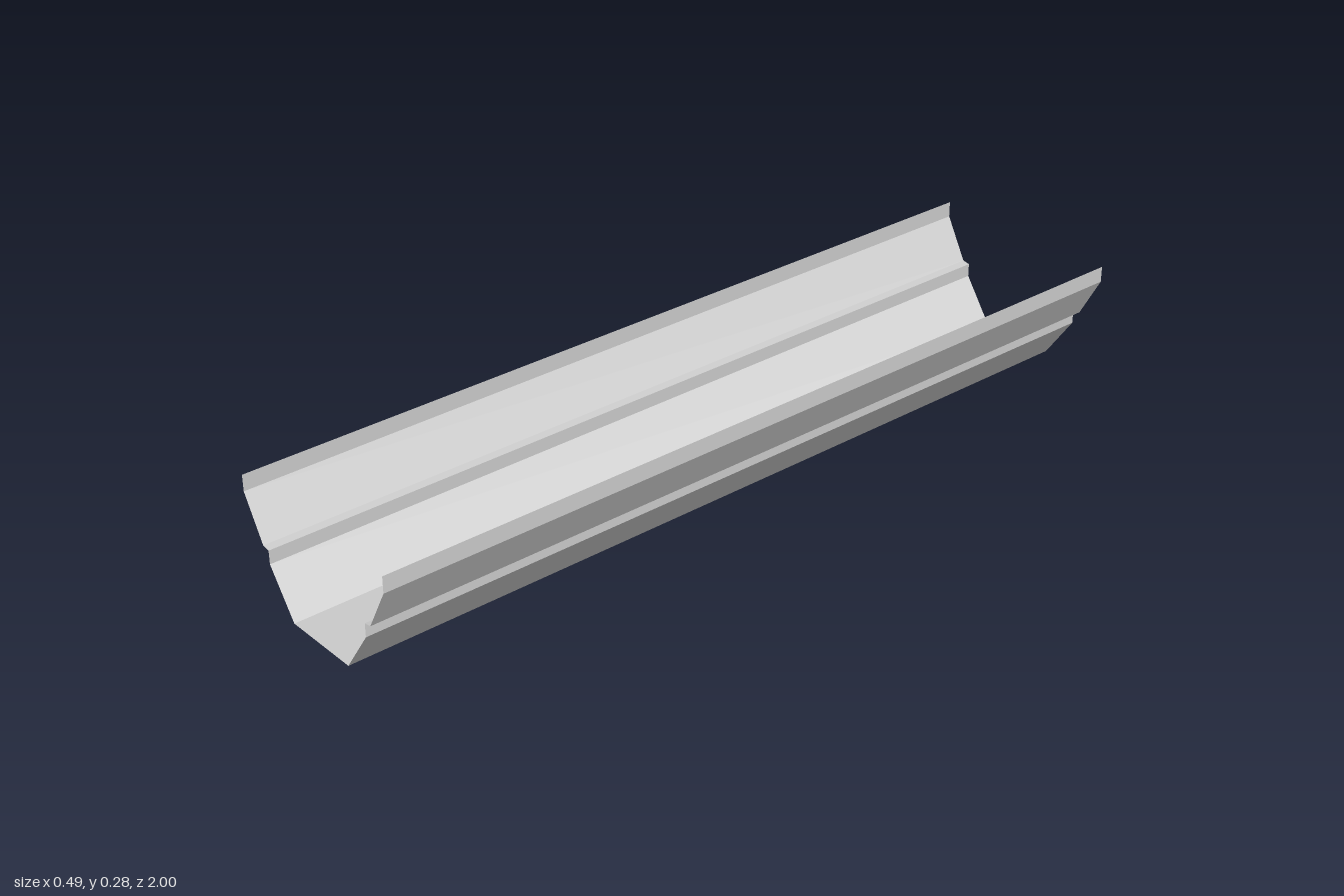
import * as THREE from 'three';

const LENGTH = 2;

// Half cross-section from the floor edge up to the rim: [x, y]
const HALF = [
  [0.096, 0],
  [0.169, 0.104],
  [0.169, 0.136],
  [0.188, 0.139],
  [0.243, 0.239],
  [0.243, 0.277],
];

// Thin folded sheet following an open profile (left to right), running along z
function foldedSheet(profile, name, material) {
  const geometry = new THREE.PlaneGeometry(1, 1, profile.length - 1, 1);
  const position = geometry.attributes.position;
  for (let i = 0; i < position.count; i++) {
    const [x, y] = profile[i % profile.length];
    const z = i < profile.length ? -LENGTH / 2 : LENGTH / 2;
    position.setXYZ(i, x, y, z);
  }
  const flat = geometry.toNonIndexed();
  flat.computeVertexNormals();
  const mesh = new THREE.Mesh(flat, material);
  mesh.name = name;
  return mesh;
}

export function createModel() {
  const group = new THREE.Group();
  group.name = 'openChannel';
  const material = new THREE.MeshStandardMaterial({
    color: 0xcccccc,
    flatShading: true,
    side: THREE.DoubleSide,
  });

  const mirrored = HALF.map(([x, y]) => [-x, y]).reverse();

  // Flat floor between the two lowest edges
  group.add(foldedSheet([mirrored[mirrored.length - 1], HALF[0]], 'floor', material));

  // Flared side walls, each with a stepped ledge and an upright rim
  group.add(foldedSheet(HALF, 'leftWall', material));
  group.add(foldedSheet(mirrored, 'rightWall', material));

  return group;
}
